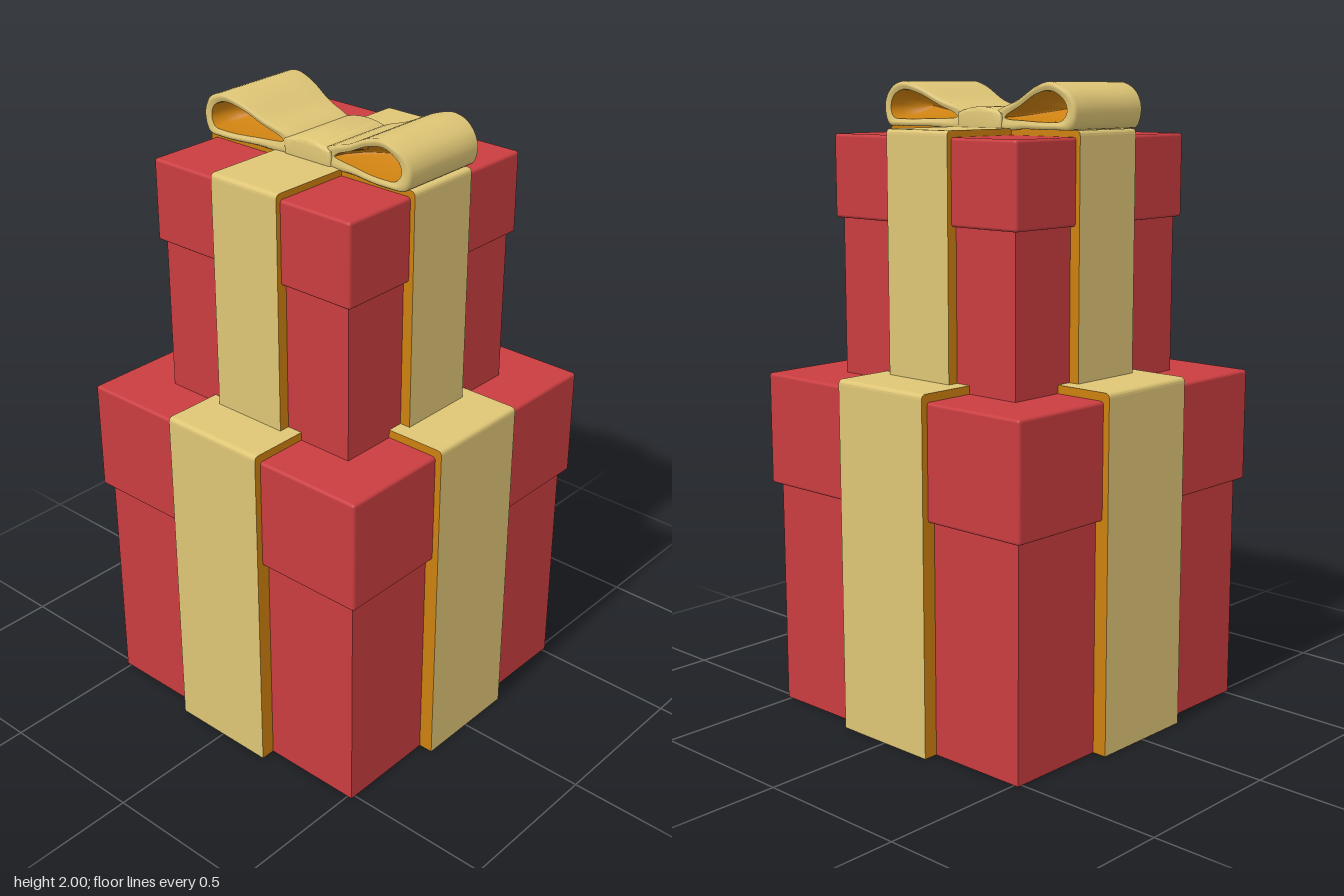
import * as THREE from 'three';
import { toCreasedNormals } from 'three/addons/utils/BufferGeometryUtils.js';
import { RoundedBoxGeometry } from 'three/addons/geometries/RoundedBoxGeometry.js';

const mat = (name, color, side = THREE.FrontSide) => {
  const m = new THREE.MeshStandardMaterial({ color, side });
  m.name = name;
  return m;
};

function addMesh(parent, name, geometry, material) {
  const mesh = new THREE.Mesh(geometry, material);
  mesh.name = name;
  parent.add(mesh);
  return mesh;
}

// Four upright walls, open at top and bottom
function wallGeometry(half, y0, y1) {
  const r = half * Math.SQRT2;
  const g = new THREE.CylinderGeometry(r, r, y1 - y0, 4, 1, true);
  g.rotateY(Math.PI / 4).translate(0, (y0 + y1) / 2, 0);
  return toCreasedNormals(g, 0.5);
}

// Thick band running up one side, over the top and down the other
function ribbonGeometry(half, y0, top, width, inner, innerTop) {
  const r = 0.016;
  const s = new THREE.Shape();
  s.moveTo(half, y0);
  s.lineTo(half, top - r);
  s.quadraticCurveTo(half, top, half - r, top);
  s.lineTo(-half + r, top);
  s.quadraticCurveTo(-half, top, -half, top - r);
  s.lineTo(-half, y0);
  s.lineTo(-inner, y0);
  s.lineTo(-inner, innerTop);
  s.lineTo(inner, innerTop);
  s.lineTo(inner, y0);
  s.closePath();
  const g = new THREE.ExtrudeGeometry(s, { depth: width, bevelEnabled: false, curveSegments: 4 });
  return g.translate(0, 0, -width / 2);
}

// Matching outer and inner outlines of one bow loop
const LOOP_OUTER = [[0.06, 1.861], [0.2, 1.861], [0.33, 1.861], [0.387, 1.866], [0.406, 1.92],
  [0.385, 1.967], [0.315, 1.999], [0.245, 1.985], [0.16, 1.945], [0.06, 1.905]];
const LOOP_INNER = [[0.1, 1.892], [0.2, 1.885], [0.31, 1.883], [0.355, 1.888], [0.371, 1.915],
  [0.358, 1.95], [0.31, 1.974], [0.245, 1.962], [0.17, 1.927], [0.11, 1.902]];
const LOOP_CENTRE = new THREE.Vector3(0.29, 1.922, 0);
const SEGMENTS = 48;

const outline = (points) => new THREE.CatmullRomCurve3(
  points.map(([x, y]) => new THREE.Vector3(x, y, 0)), true).getPoints(SEGMENTS).slice(0, SEGMENTS);

// The loop is narrow at the knot and flares outwards
const loopDepth = (x) => 0.13 + 0.035 * THREE.MathUtils.smoothstep(x, 0.06, 0.32)
  - 0.012 * THREE.MathUtils.smoothstep(x, 0.34, 0.41);

// Skin over rows of [blend outer to inner, depth fraction, pull to centre]
function loopSkin(rows) {
  const outer = outline(LOOP_OUTER), inner = outline(LOOP_INNER);
  const positions = [], indices = [];
  rows.forEach(([blend, depth, pull = 0], j) => {
    for (let i = 0; i < SEGMENTS; i++) {
      const p = outer[i].clone().lerp(inner[i], blend).lerp(LOOP_CENTRE, pull);
      positions.push(p.x, p.y, depth * loopDepth(p.x));
      if (j === 0) continue;
      const n = (i + 1) % SEGMENTS, lo = (j - 1) * SEGMENTS, hi = j * SEGMENTS;
      indices.push(lo + i, lo + n, hi + n, lo + i, hi + n, hi + i);
    }
  });
  const g = new THREE.BufferGeometry();
  g.setAttribute('position', new THREE.Float32BufferAttribute(positions, 3));
  g.setIndex(indices);
  g.computeVertexNormals();
  return g;
}

export function createModel() {
  const red = mat('red paper', 0xc93d40, THREE.DoubleSide);
  const gold = mat('gold ribbon', 0xdec575);
  const orange = mat('orange ribbon edge', 0xcc8010);
  const goldLoop = mat('gold ribbon', 0xdec575, THREE.DoubleSide);
  goldLoop.name = 'gold bow';
  const orangeLoop = mat('orange bow lining', 0xcc8010, THREE.DoubleSide);

  const model = new THREE.Group();
  model.name = 'stackedGiftBoxes';

  // Two boxes, each with walls, a lid and crossed ribbons
  const boxes = [
    { name: 'lowerBox', y0: 0, wall: 0.516, lid: 0.541, lidY: 0.73, lidTop: 1.09,
      ribbon: 0.563, ribbonTop: 1.116, width: 0.36, inner: 0.47 },
    { name: 'upperBox', y0: 1.085, wall: 0.365, lid: 0.384, lidY: 1.582, lidTop: 1.841,
      ribbon: 0.4, ribbonTop: 1.861, width: 0.256, inner: 0.335 },
  ];
  for (const b of boxes) {
    const box = new THREE.Group();
    box.name = b.name;
    model.add(box);
    addMesh(box, 'walls', wallGeometry(b.wall, b.y0, b.lidY + 0.01), red);
    const h = b.lidTop - b.lidY;
    const lid = addMesh(box, 'lid', new RoundedBoxGeometry(b.lid * 2, h, b.lid * 2, 3, 0.01), red);
    lid.position.y = b.lidY + h / 2;
    const band = ribbonGeometry(b.ribbon, b.y0, b.ribbonTop, b.width, b.inner, b.lidTop - 0.04);
    addMesh(box, 'sideRibbon', band, [orange, gold]);
    addMesh(box, 'frontRibbon', band, [orange, gold]).rotation.y = Math.PI / 2;
  }

  // Bow with two flared loops
  const bow = new THREE.Group();
  bow.name = 'bow';
  model.add(bow);
  const shell = loopSkin([[1, -0.96], [0.6, -0.99], [0.25, -1], [0, -0.95], [0, -0.5], [0, 0],
    [0, 0.5], [0, 0.95], [0.25, 1], [0.6, 0.99], [1, 0.96]]);
  const frontLining = loopSkin([[1, 0.96], [1, 0.7, 0.08], [1, 0.4, 0.35], [1, 0.25, 1]]);
  const backLining = loopSkin([[1, -0.25, 1], [1, -0.4, 0.35], [1, -0.7, 0.08], [1, -0.96]]);
  for (const [name, turn] of [['leftLoop', 0], ['rightLoop', Math.PI]]) {
    const loop = new THREE.Group();
    loop.name = name;
    loop.rotation.y = turn;
    bow.add(loop);
    addMesh(loop, 'loopBand', shell, goldLoop);
    addMesh(loop, 'frontLining', frontLining, orangeLoop);
    addMesh(loop, 'backLining', backLining, orangeLoop);
  }

  // Knot, gently arched on top
  const k = new THREE.Shape();
  k.moveTo(-0.08, 1.866);
  k.lineTo(0.08, 1.866);
  k.lineTo(0.08, 1.898);
  k.quadraticCurveTo(0, 1.926, -0.08, 1.898);
  k.closePath();
  const knot = new THREE.ExtrudeGeometry(k, { depth: 0.25, bevelThickness: 0.013, bevelSize: 0.012,
    bevelSegments: 4, curveSegments: 12 });
  knot.translate(0, 0, -0.125);
  addMesh(bow, 'knot', toCreasedNormals(knot, 0.8), gold);

  return model;
}
